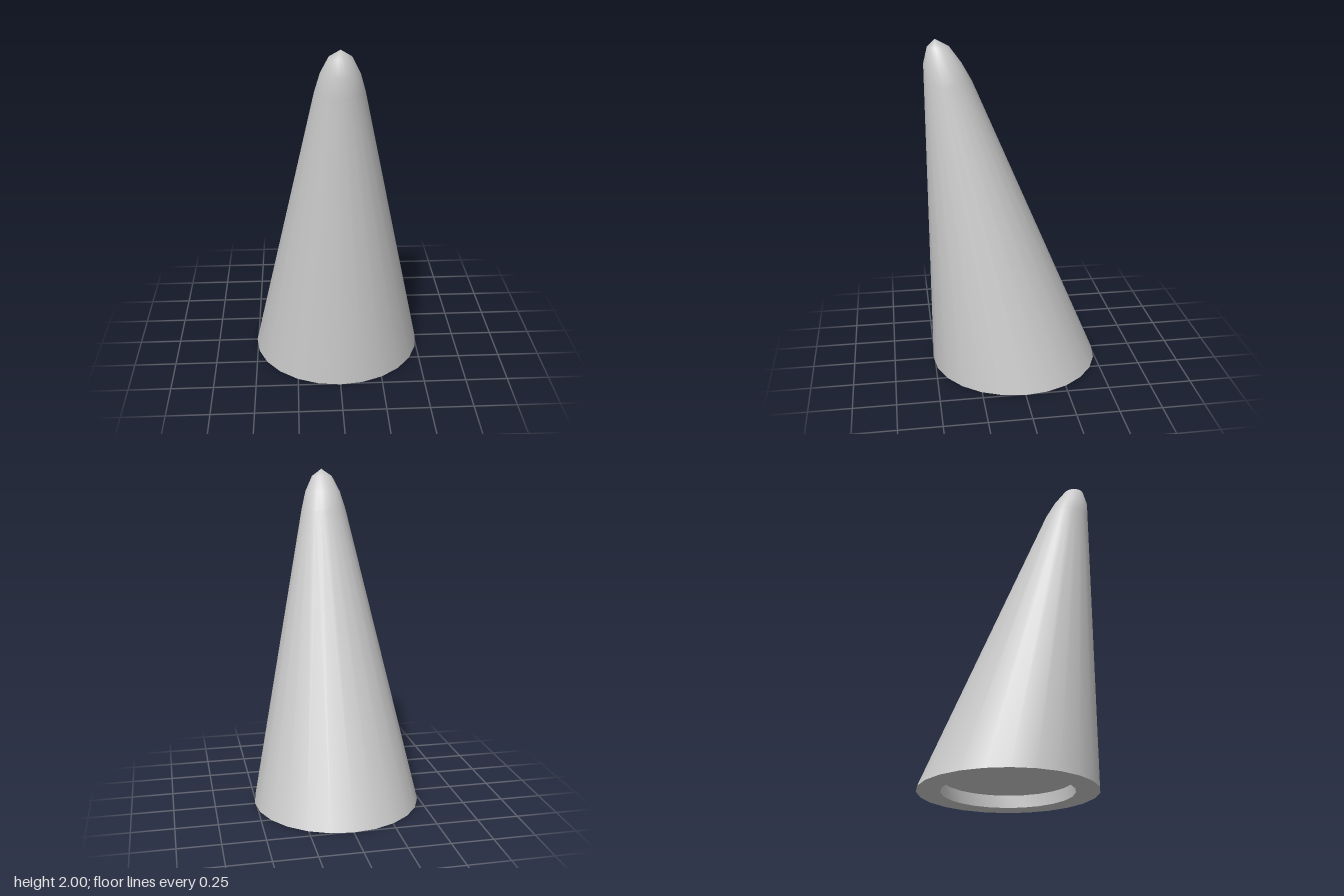
import * as THREE from 'three';
import { mergeVertices } from 'three/addons/utils/BufferGeometryUtils.js';

const SIDES = 24;
const BASE_R = 0.508;
const HOLE_R = 0.374;
const HOLE_DEPTH = 0.073;

// Horn rings: [radius, height, z of the ring centre]; the front edge stays upright
const RINGS = [
  [BASE_R, 0, 0],
  [0.136, 1.76, 0.372],
  [0.107, 1.865, 0.401],
  [0.062, 1.957, 0.423],
  [0, 2, 0.44],
];

const material = new THREE.MeshStandardMaterial({ color: 0xcccccc });

// Lathe a [radius, height] profile
function lathe(profile) {
  return new THREE.LatheGeometry(profile.map(([r, y]) => new THREE.Vector2(r, y)), SIDES);
}

// Weld the lathe seam and smooth the normals
function weld(geometry) {
  geometry.deleteAttribute('uv');
  geometry.deleteAttribute('normal');
  const welded = mergeVertices(geometry, 1e-5);
  welded.computeVertexNormals();
  return welded;
}

// Centre z for a given height, interpolated between rings
function leanAt(y) {
  for (let i = 1; i < RINGS.length; i++) {
    const [, y0, z0] = RINGS[i - 1];
    const [, y1, z1] = RINGS[i];
    if (y <= y1 + 1e-6) return z0 + ((z1 - z0) * (y - y0)) / (y1 - y0);
  }
  return RINGS[RINGS.length - 1][2];
}

export function createModel() {
  const group = new THREE.Group();
  group.name = 'leaningCone';

  const add = (name, geometry) => {
    const mesh = new THREE.Mesh(geometry, material);
    mesh.name = name;
    group.add(mesh);
  };

  // Outer shell: a round-tipped cone sheared toward the front
  const shell = lathe(RINGS);
  const pos = shell.attributes.position;
  for (let i = 0; i < pos.count; i++) pos.setZ(i, pos.getZ(i) + leanAt(pos.getY(i)));
  add('coneShell', weld(shell));

  // Underside: flat rim around a shallow round recess
  add('baseRim', weld(lathe([[HOLE_R, 0], [BASE_R, 0]])));
  add('recessWall', weld(lathe([[HOLE_R, HOLE_DEPTH], [HOLE_R, 0]])));
  add('recessCeiling', weld(lathe([[0, HOLE_DEPTH], [HOLE_R, HOLE_DEPTH]])));

  return group;
}
